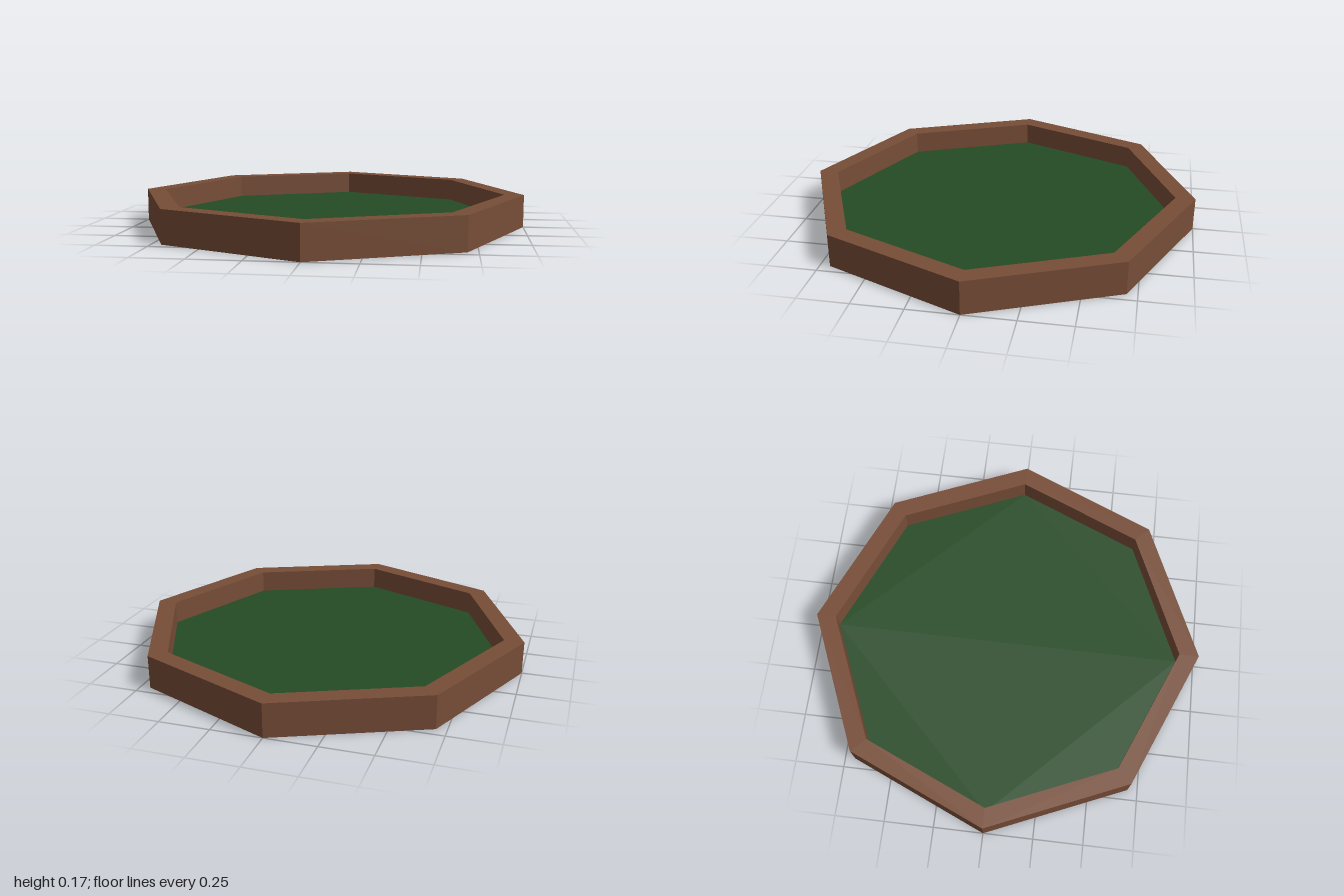
import * as THREE from 'three';

const HEIGHT = 0.167; // top of the rim
const FLOOR = 0.05;   // level of the sunken green surface
const INNER = 0.9;    // inner edge of the rim relative to the outer one

// Eight corners, the diagonal ones at 0.7
function octagon(scale) {
  const d = 0.7;
  return [[1, 0], [d, d], [0, 1], [-d, d], [-1, 0], [-d, -d], [0, -1], [d, -d]]
    .map(([x, y]) => new THREE.Vector2(x * scale, y * scale));
}

export function createModel() {
  const wood = new THREE.MeshStandardMaterial({ color: 0x774d37 });
  wood.name = 'brown wood';
  const green = new THREE.MeshStandardMaterial({ color: 0x244a24 });
  green.name = 'dark green';

  const model = new THREE.Group();
  model.name = 'octagonalTray';
  const add = (name, geometry, material, y = 0) => {
    const mesh = new THREE.Mesh(geometry, material);
    mesh.name = name;
    mesh.position.y = y;
    model.add(mesh);
  };

  // Raised wooden rim
  const rimShape = new THREE.Shape(octagon(1));
  rimShape.holes.push(new THREE.Path(octagon(INNER).reverse()));
  const rim = new THREE.ExtrudeGeometry(rimShape, { depth: HEIGHT, bevelEnabled: false });
  add('rim', rim.rotateX(-Math.PI / 2), wood);

  // Underside closing the rim, facing down
  const inside = new THREE.Shape(octagon(INNER));
  add('underside', new THREE.ShapeGeometry(inside).rotateX(Math.PI / 2), wood);

  // Sunken green surface, facing up
  add('greenSurface', new THREE.ShapeGeometry(inside).rotateX(-Math.PI / 2), green, FLOOR);

  return model;
}
